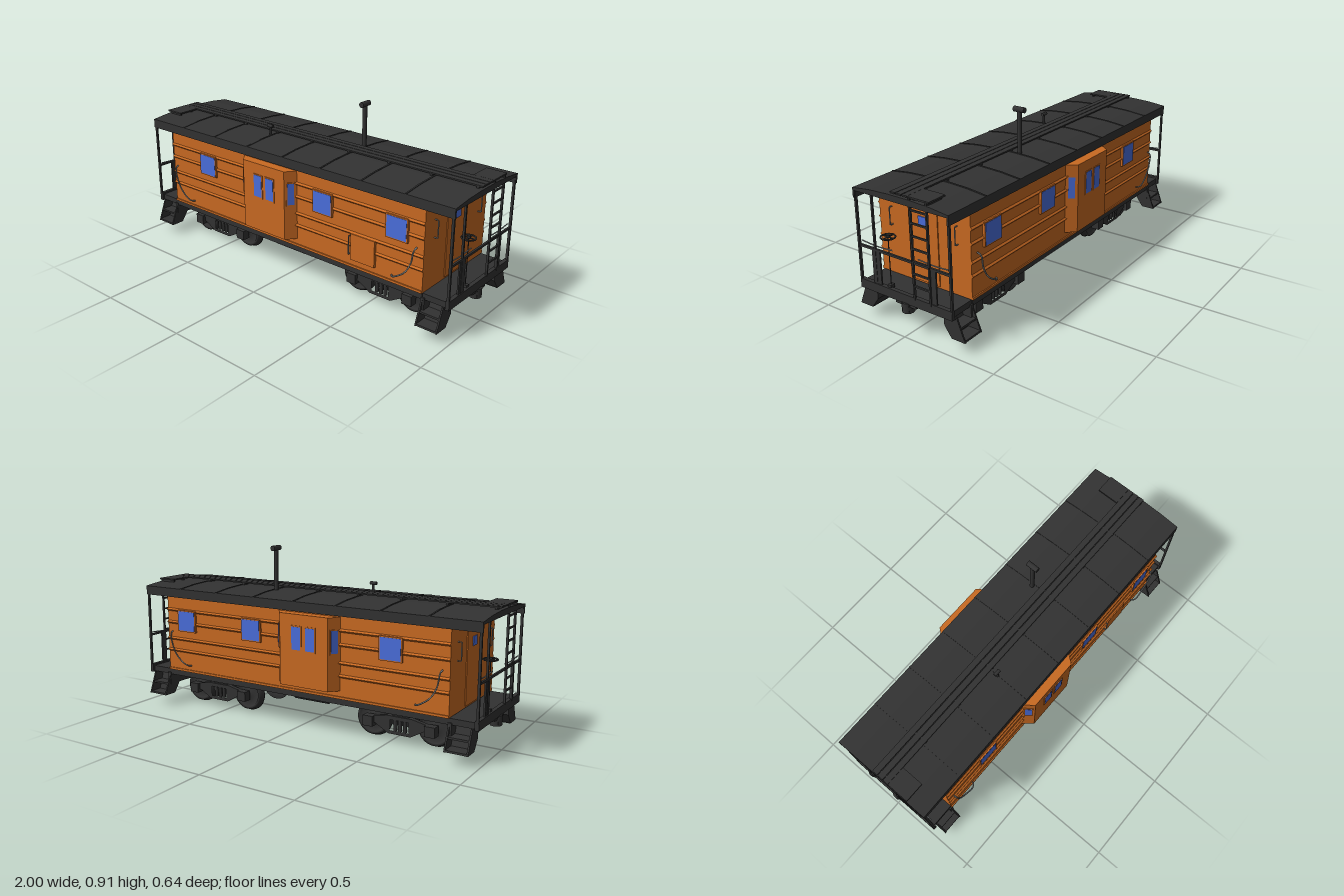
import * as THREE from 'three';

const mat = (name, color, side = THREE.FrontSide) => {
  const m = new THREE.MeshStandardMaterial({ color, side });
  m.name = name;
  return m;
};
const ORANGE = mat('orange paint', 0xc96a22);
const BLACK = mat('black paint', 0x323232);
const BLUE = mat('blue glass', 0x4a6edc);
const GREY = mat('grey steel', 0x858a8c);

function add(parent, name, geo, m, x = 0, y = 0, z = 0) {
  const mesh = new THREE.Mesh(geo, m);
  mesh.name = name;
  mesh.position.set(x, y, z);
  parent.add(mesh);
  return mesh;
}
// box given by its limits
function box(parent, name, m, x0, x1, y0, y1, z0, z1) {
  return add(parent, name, new THREE.BoxGeometry(x1 - x0, y1 - y0, z1 - z0), m,
    (x0 + x1) / 2, (y0 + y1) / 2, (z0 + z1) / 2);
}
function rod(parent, name, m, pts, r, curved = false) {
  const v = pts.map(p => new THREE.Vector3(...p));
  if (curved) return add(parent, name, new THREE.TubeGeometry(new THREE.CatmullRomCurve3(v), 16, r, 6), m);
  const path = new THREE.CurvePath();
  for (let i = 1; i < v.length; i++) path.add(new THREE.LineCurve3(v[i - 1], v[i]));
  return add(parent, name, new THREE.TubeGeometry(path, (v.length - 1) * 8, r, 6), m);
}
const shape = pts => new THREE.Shape(pts.map(p => new THREE.Vector2(...p)));
// extrude a (z, y) outline along x, starting at x0
function extrudeX(pts, x0, x1) {
  const g = new THREE.ExtrudeGeometry(shape(pts), { depth: x1 - x0, bevelEnabled: false });
  return g.rotateY(-Math.PI / 2).translate(x1, 0, 0);
}
function windowPane(parent, x, y, z, w, h, ry = 0) {
  const g = new THREE.Group();
  g.name = 'window';
  g.position.set(x, y, z);
  g.rotation.y = ry;
  add(g, 'windowFrame', new THREE.BoxGeometry(w + 0.012, h + 0.012, 0.012), ORANGE);
  add(g, 'windowGlass', new THREE.BoxGeometry(w, h, 0.003), BLUE, 0, 0, 0.006);
  parent.add(g);
}

// one long side of the body, facing +z; mx mirrors x for the opposite side
function buildSide(mx) {
  const s = new THREE.Group();
  s.name = 'bodySide';
  for (const y of [0.315, 0.38, 0.47, 0.54]) {
    const rib = box(s, 'sideRib', ORANGE, -0.84, 0.84, y - 0.006, y + 0.006, 0.262, 0.274);
    rib.rotation.x = Math.PI / 4;
  }
  box(s, 'sideSill', ORANGE, -0.84, 0.84, 0.2, 0.212, 0.266, 0.273);
  for (const x of [-0.545, 0.262, 0.697]) windowPane(s, x * mx, 0.485, 0.274, 0.11, 0.106);
  for (const x of [-0.128, -0.048]) windowPane(s, x * mx, 0.485, 0.315, 0.052, 0.115);
  windowPane(s, 0.069 * mx, 0.485, 0.291, 0.034, 0.112, 0.915 * mx);
  windowPane(s, -0.249 * mx, 0.485, 0.291, 0.034, 0.112, -0.915 * mx);
  // curved handrails beside the steps
  for (const e of [-1, 1]) {
    rod(s, 'curvedHandrail', GREY, [[0.805 * e, 0.42, 0.272], [0.802 * e, 0.41, 0.291], [0.79 * e, 0.345, 0.293],
      [0.755 * e, 0.285, 0.293], [0.69 * e, 0.243, 0.291], [0.675 * e, 0.24, 0.272]], 0.004, true);
  }
  return s;
}

// end platform, railing and ladder for the +x end
function buildEnd() {
  const e = new THREE.Group();
  e.name = 'endPlatform';
  // end wall: door, window, grab irons
  box(e, 'door', ORANGE, 0.838, 0.845, 0.21, 0.63, -0.085, 0.085);
  box(e, 'doorGlass', BLUE, 0.842, 0.849, 0.488, 0.534, -0.022, 0.024);
  for (const z of [-0.195, 0.188])
    rod(e, 'grabIron', GREY, [[0.838, 0.45, z], [0.858, 0.45, z], [0.858, 0.538, z], [0.838, 0.538, z]], 0.003);
  // floor and sills
  box(e, 'platformFloor', BLACK, 0.83, 0.985, 0.17, 0.2, -0.262, 0.262);
  box(e, 'endSill', BLACK, 0.965, 0.985, 0.165, 0.21, -0.272, 0.272);
  box(e, 'bodyBolster', BLACK, 0.835, 0.855, 0.112, 0.18, -0.27, 0.27);
  // coupler
  box(e, 'couplerPocket', BLACK, 0.86, 0.98, 0.15, 0.2, -0.06, 0.06);
  box(e, 'couplerShank', BLACK, 0.88, 0.985, 0.125, 0.16, -0.022, 0.022);
  add(e, 'couplerHead', new THREE.CylinderGeometry(0.03, 0.03, 0.05, 10), BLACK, 0.965, 0.143, 0);
  // steps
  for (const s of [-1, 1]) {
    const outline = [[0.2, 0.11], [0.24, 0.055], [0.315, 0.055], [0.27, 0.17], [0.2, 0.17]].map(p => [p[0] * s, p[1]]);
    for (const x of [0.838, 0.948]) add(e, 'stepSide', extrudeX(outline, x, x + 0.008), BLACK);
    for (const [y, a, b] of [[0.055, 0.238, 0.312], [0.11, 0.2, 0.288]]) {
      box(e, 'stepTread', BLACK, 0.84, 0.955, y, y + 0.01, Math.min(a * s, b * s), Math.max(a * s, b * s));
    }
    const back = [[0.2, 0.11], [0.24, 0.055], [0.248, 0.055], [0.208, 0.17], [0.2, 0.17]].map(p => [p[0] * s, p[1]]);
    add(e, 'stepBack', extrudeX(back, 0.84, 0.955), BLACK);
    box(e, 'cornerPost', BLACK, 0.972, 0.984, 0.2, 0.65, s * 0.268 - 0.005, s * 0.268 + 0.005);
    // slack guard chains
    rod(e, 'guardRail', GREY, [[0.965, 0.396, 0.265 * s], [0.965, 0.39, 0.17 * s], [0.965, 0.395, 0.075 * s]], 0.003, true);
  }
  // railing
  box(e, 'tallPost', BLACK, 0.972, 0.982, 0.2, 0.65, 0.166, 0.175);
  box(e, 'topRail', BLACK, 0.972, 0.982, 0.374, 0.385, -0.268, 0.268);
  box(e, 'railPanel', BLACK, 0.972, 0.98, 0.2, 0.38, 0.142, 0.19);
  box(e, 'railPanel', BLACK, 0.972, 0.98, 0.2, 0.38, -0.185, -0.152);
  // ladder up to the roof
  for (const z of [-0.06, -0.153]) box(e, 'ladderRail', BLACK, 0.976, 0.987, 0.2, 0.685, z - 0.004, z + 0.004);
  for (let i = 0; i < 7; i++) {
    const y = 0.27 + i * 0.06;
    box(e, 'ladderRung', BLACK, 0.978, 0.986, y - 0.004, y + 0.004, -0.153, -0.06);
  }
  // brake wheel
  const wheel = add(e, 'brakeWheel', new THREE.TorusGeometry(0.033, 0.004, 6, 20), BLACK, 0.963, 0.455, 0.1);
  wheel.rotation.x = Math.PI / 2;
  for (const a of [0, Math.PI / 2])
    add(e, 'brakeWheelSpoke', new THREE.BoxGeometry(0.066, 0.004, 0.006), BLACK, 0.963, 0.455, 0.1).rotation.y = a;
  add(e, 'brakeWheelHub', new THREE.CylinderGeometry(0.008, 0.008, 0.014, 8), BLACK, 0.963, 0.458, 0.1);
  add(e, 'brakeStem', new THREE.CylinderGeometry(0.0025, 0.0025, 0.25, 6), BLACK, 0.963, 0.33, 0.1);
  box(e, 'brakeStemFoot', BLACK, 0.95, 0.976, 0.205, 0.222, 0.09, 0.11);
  // roof platform at the top of the ladder
  box(e, 'roofPlatform', BLACK, 0.88, 0.985, 0.682, 0.69, -0.17, -0.05);
  for (const z of [-0.16, -0.08]) box(e, 'roofPlatformFoot', BLACK, 0.89, 0.975, 0.66, 0.684, z, z + 0.008);
  return e;
}

function buildTruck(cx) {
  const t = new THREE.Group();
  t.name = 'truck';
  t.position.x = cx;
  const profile = [[0, -0.016], [0.06, -0.012], [0.07, -0.016], [0.095, -0.016], [0.095, -0.01], [0.088, -0.006],
    [0.085, 0.016], [0.072, 0.016], [0.066, 0.006], [0.03, 0.006], [0.022, 0.016], [0, 0.016]];
  const wheelGeo = new THREE.LatheGeometry(profile.map(p => new THREE.Vector2(...p)), 32);
  for (const dx of [-0.165, 0.165]) {
    add(t, 'axle', new THREE.CylinderGeometry(0.012, 0.012, 0.37, 10).rotateX(Math.PI / 2), BLACK, dx, 0.095, 0);
    for (const s of [-1, 1]) {
      add(t, 'wheel', wheelGeo, BLACK, dx, 0.095, 0.135 * s).rotation.x = s * Math.PI / 2;
      box(t, 'journalBox', BLACK, dx - 0.027, dx + 0.027, 0.068, 0.12, s * 0.187 - 0.022, s * 0.187 + 0.022);
    }
  }
  // side frames with an opening for the springs
  const frame = shape([[-0.19, 0.11], [-0.07, 0.135], [0.07, 0.135], [0.19, 0.11], [0.19, 0.085],
    [0.13, 0.085], [0.06, 0.045], [-0.06, 0.045], [-0.13, 0.085], [-0.19, 0.085]]);
  frame.holes.push(new THREE.Path([[-0.05, 0.062], [-0.05, 0.115], [0.05, 0.115], [0.05, 0.062]].map(p => new THREE.Vector2(...p))));
  const frameGeo = new THREE.ExtrudeGeometry(frame, { depth: 0.024, bevelEnabled: false });
  for (const s of [-1, 1]) {
    add(t, 'sideFrame', frameGeo, BLACK, 0, 0, s * 0.18 - 0.012);
    for (const dx of [-0.026, 0, 0.026])
      add(t, 'spring', new THREE.CylinderGeometry(0.01, 0.01, 0.056, 8), BLACK, dx, 0.088, s * 0.18);
  }
  box(t, 'truckBolster', BLACK, -0.045, 0.045, 0.09, 0.15, -0.18, 0.18);
  add(t, 'centerPlate', new THREE.CylinderGeometry(0.05, 0.05, 0.04, 16), BLACK, 0, 0.16, 0);
  return t;
}

export function createModel() {
  const root = new THREE.Group();
  root.name = 'railCar';

  // body with the wide bay through its middle
  box(root, 'body', ORANGE, -0.84, 0.84, 0.2, 0.646, -0.267, 0.267);
  const bay = shape([[-0.27, -0.267], [-0.23, -0.318], [0.05, -0.318], [0.09, -0.267],
    [0.09, 0.267], [0.05, 0.318], [-0.23, 0.318], [-0.27, 0.267]]);
  add(root, 'bay', new THREE.ExtrudeGeometry(bay, { depth: 0.365, bevelEnabled: false })
    .rotateX(Math.PI / 2), ORANGE, 0, 0.605, 0);
  root.add(buildSide(1));
  const rear = buildSide(-1);
  rear.rotation.y = Math.PI;
  root.add(rear);
  box(root, 'batteryDoor', ORANGE, 0.44, 0.58, 0.245, 0.38, 0.26, 0.282);
  rod(root, 'doorHandle', GREY, [[0.43, 0.27, 0.268], [0.43, 0.27, 0.284], [0.43, 0.365, 0.284], [0.43, 0.365, 0.268]], 0.003);

  // roof: arched top with hanging eaves
  const half = [[0.275, 0.61], [0.275, 0.658], [0.17, 0.67], [0.06, 0.675]];
  const roof = [...half, ...half.map(p => [-p[0], p[1]]).reverse(),
    [-0.266, 0.61], [-0.266, 0.645], [0.266, 0.645], [0.266, 0.61]];
  add(root, 'roof', extrudeX(roof, -0.988, 0.988), BLACK);
  const seam = [...half.slice(1), ...half.slice(1).map(p => [-p[0], p[1]]).reverse()].map(p => [p[0], p[1] + 0.003]);
  seam.push([-0.275, 0.65], [0.275, 0.65]);
  for (let i = -3; i <= 3; i++) add(root, 'roofSeam', extrudeX(seam, i * 0.245 - 0.004, i * 0.245 + 0.004), BLACK);

  // running boards on the roof
  for (const z of [-0.034, 0, 0.034]) box(root, 'runningBoard', BLACK, -0.985, 0.985, 0.683, 0.69, z - 0.015, z + 0.015);
  for (let i = -4; i <= 4; i++) box(root, 'boardSupport', BLACK, i * 0.24 - 0.006, i * 0.24 + 0.006, 0.67, 0.684, -0.05, 0.05);

  // stove pipe and whistle
  add(root, 'stovePipe', new THREE.CylinderGeometry(0.012, 0.012, 0.23, 16), BLACK, 0.23, 0.78, -0.09);
  add(root, 'stovePipeCap', new THREE.CylinderGeometry(0.014, 0.014, 0.062, 16).rotateX(Math.PI / 2), BLACK, 0.23, 0.893, -0.09);
  add(root, 'whistlePipe', new THREE.CylinderGeometry(0.006, 0.007, 0.06, 10), BLACK, -0.25, 0.695, 0.09);
  add(root, 'whistle', new THREE.CylinderGeometry(0.009, 0.009, 0.036, 12).rotateZ(Math.PI / 2), BLACK, -0.252, 0.724, 0.09);

  // underframe
  box(root, 'floor', BLACK, -0.84, 0.84, 0.182, 0.201, -0.262, 0.262);
  for (const s of [-1, 1]) {
    box(root, 'sideBeam', BLACK, -0.84, 0.84, 0.17, 0.2, s * 0.258 - 0.008, s * 0.258 + 0.008);
    const belly = shape([[-0.84, 0.19], [-0.84, 0.165], [-0.4, 0.165], [-0.15, 0.145], [0.15, 0.145],
      [0.4, 0.165], [0.84, 0.165], [0.84, 0.19]]);
    add(root, 'centerBeam', new THREE.ExtrudeGeometry(belly, { depth: 0.02, bevelEnabled: false }), BLACK, 0, 0, s * 0.05 - 0.01);
  }
  for (let i = -6; i <= 6; i++) box(root, 'crossBeam', BLACK, i * 0.12 - 0.007, i * 0.12 + 0.007, 0.166, 0.19, -0.255, 0.255);
  box(root, 'equipmentBox', BLACK, -0.13, 0.07, 0.118, 0.185, 0.09, 0.19);
  add(root, 'airTank', new THREE.CylinderGeometry(0.03, 0.03, 0.2, 16).rotateZ(Math.PI / 2), BLACK, -0.03, 0.15, -0.14);

  // running gear and ends
  for (const x of [-0.555, 0.555]) root.add(buildTruck(x));
  for (const turn of [0, Math.PI]) {
    const end = buildEnd();
    end.rotation.y = turn;
    root.add(end);
  }
  return root;
}
